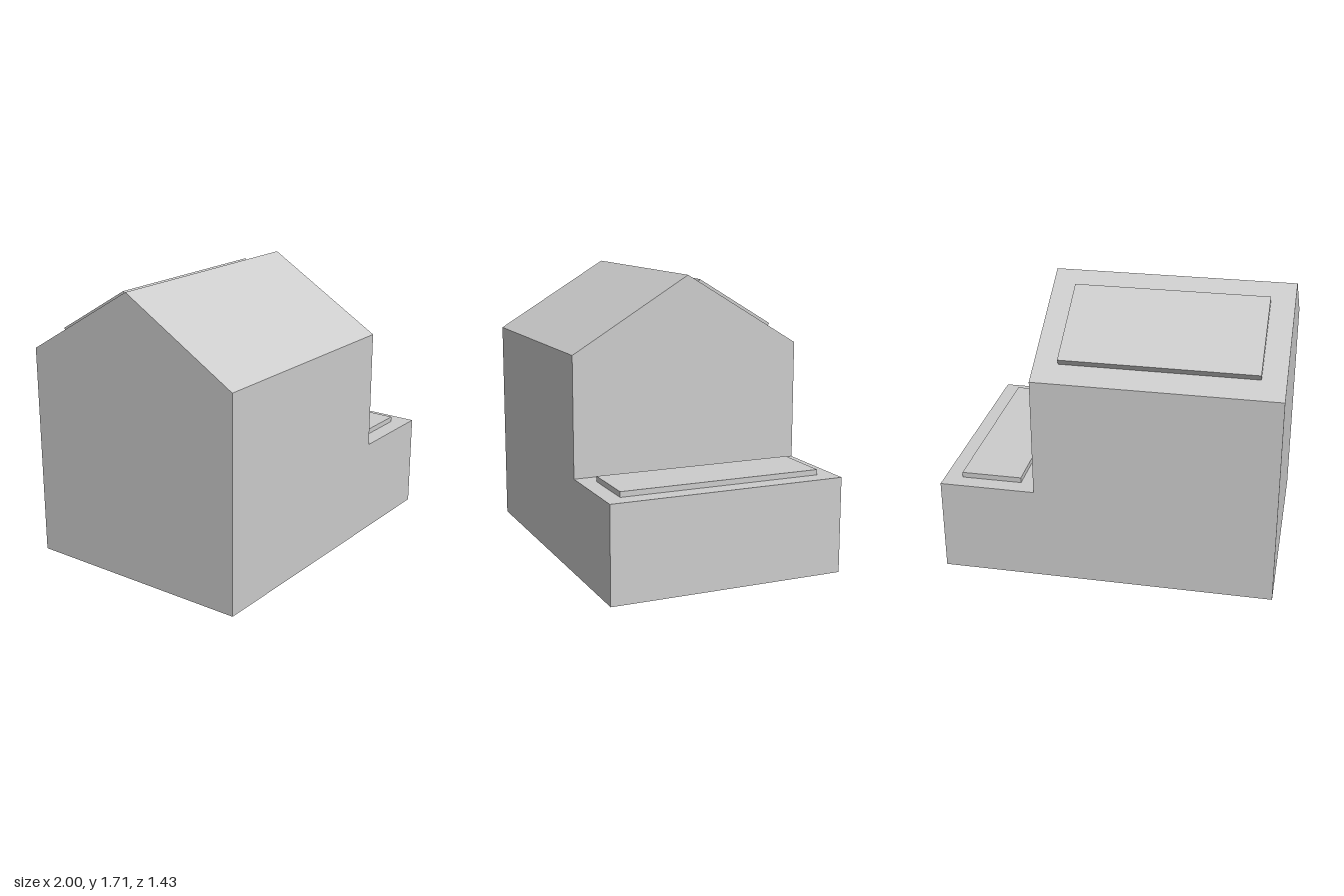
import * as THREE from 'three';

const W = 1, D = 0.714;                  // half width, half depth
const STEP = 0.4286, LOW = 0.5714;       // where the annex begins, annex height
const EAVE = 1.2857, RIDGE = 1.7143;

// Flat-faced solid from polygons, each fanned from its first corner
function solid(faces) {
  const pos = [];
  for (const f of faces)
    for (let i = 1; i < f.length - 1; i++) pos.push(...f[0], ...f[i], ...f[i + 1]);
  const g = new THREE.BufferGeometry();
  g.setAttribute('position', new THREE.Float32BufferAttribute(pos, 3));
  g.computeVertexNormals();
  return g;
}

export function createModel() {
  const group = new THREE.Group();
  const grey = new THREE.MeshStandardMaterial({ color: 0xcccccc });
  grey.name = 'plain grey';
  const add = (name, geometry) => {
    const mesh = new THREE.Mesh(geometry, grey);
    mesh.name = name;
    group.add(mesh);
    return mesh;
  };

  // Front outline, starting at the inner corner of the step
  const outline = [[STEP, LOW], [STEP, EAVE], [-W, EAVE], [-W, 0], [W, 0], [W, LOW]];
  const front = outline.map(([x, y]) => [x, y, D]);
  const back = outline.map(([x, y]) => [x, y, -D]);
  const gable = (x, base) => [[x, base, D], [x, base, -D], [x, EAVE, -D], [x, RIDGE, 0], [x, EAVE, D]];

  // House walls with the low flat-topped annex
  add('houseWalls', solid([
    front,
    [back[0], ...back.slice(1).reverse()],
    gable(STEP, LOW),
    gable(-W, 0).reverse(),
    [[W, 0, D], [W, 0, -D], [W, LOW, -D], [W, LOW, D]],
    [[STEP, LOW, D], [W, LOW, D], [W, LOW, -D], [STEP, LOW, -D]],
    [[-W, 0, -D], [W, 0, -D], [W, 0, D], [-W, 0, D]],
  ]));

  // Pitched roof
  add('pitchedRoof', solid([
    [[-W, EAVE, D], [STEP, EAVE, D], [STEP, RIDGE, 0], [-W, RIDGE, 0]],
    [[STEP, EAVE, -D], [-W, EAVE, -D], [-W, RIDGE, 0], [STEP, RIDGE, 0]],
  ]));

  // Panel lying on the rear slope
  const pitch = Math.atan2(RIDGE - EAVE, D);
  const length = 0.553, thick = 0.04;
  const panel = add('rearRoofPanel', new THREE.BoxGeometry(1.146, thick, length));
  const along = 0.122 / Math.cos(pitch) + length / 2;
  panel.rotation.x = -pitch;
  panel.position.set(
    -0.286,
    RIDGE - along * Math.sin(pitch) + (thick / 2) * Math.cos(pitch),
    -along * Math.cos(pitch) - (thick / 2) * Math.sin(pitch),
  );

  // Panel on the annex roof
  add('annexRoofPanel', new THREE.BoxGeometry(0.363, 0.032, 1.228)).position.set(0.713, LOW + 0.016, 0);

  return group;
}
